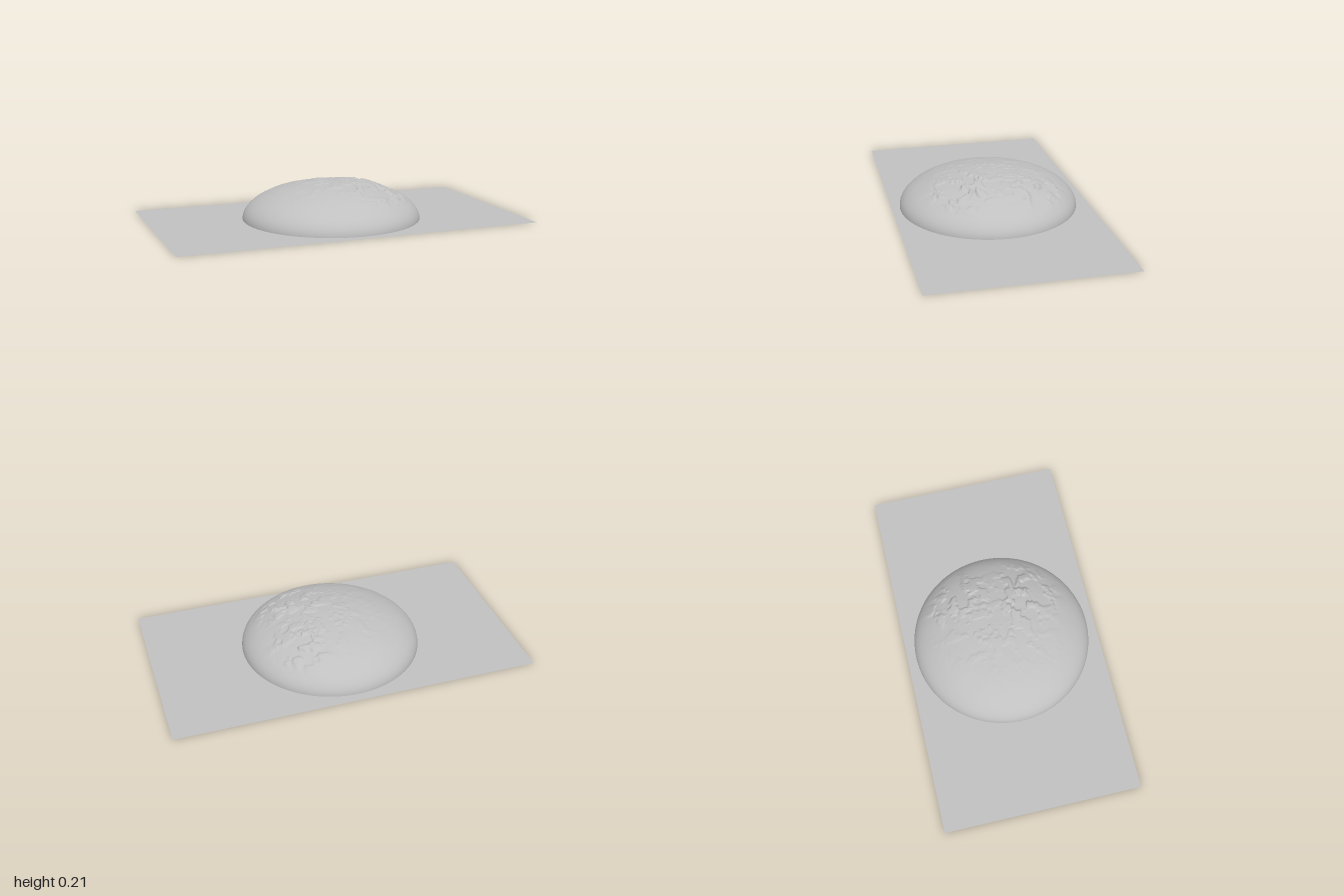
import * as THREE from 'three';
import { mergeVertices } from 'three/addons/utils/BufferGeometryUtils.js';

const RADIUS = 0.495, HEIGHT = 0.202;
const WIDTH = 2, Z_MIN = -0.545, Z_MAX = 0.54;

// Smooth value noise on a repeatable integer lattice
const hash = (i, j) => {
  const s = Math.sin(i * 127.1 + j * 311.7) * 43758.5453;
  return s - Math.floor(s);
};
function noise(x, z) {
  const i = Math.floor(x), j = Math.floor(z);
  const u = THREE.MathUtils.smoothstep(x - i, 0, 1);
  const v = THREE.MathUtils.smoothstep(z - j, 0, 1);
  return THREE.MathUtils.lerp(
    THREE.MathUtils.lerp(hash(i, j), hash(i + 1, j), u),
    THREE.MathUtils.lerp(hash(i, j + 1), hash(i + 1, j + 1), u), v);
}
const fractal = (x, z) =>
  0.55 * noise(x, z) + 0.3 * noise(x * 2.1 + 9, z * 2.1 + 5) + 0.15 * noise(x * 4.3 + 3, z * 4.3 + 7);

// Rugged areas: centre x, centre z, half-width x, half-width z, strength
const ranges = [
  [0.26, -0.18, 0.11, 0.13, 0.014],
  [0.17, -0.33, 0.08, 0.09, 0.007],
  [0.13, 0.14, 0.11, 0.09, 0.013],
  [0.27, 0.16, 0.1, 0.1, 0.011],
  [0.16, 0.28, 0.12, 0.07, 0.009],
  [-0.02, -0.1, 0.2, 0.22, 0.004],
  [-0.1, 0.15, 0.15, 0.15, 0.002],
];

function relief(x, z) {
  const n = fractal(x * 22 + 40, z * 22 + 40);
  const crag = THREE.MathUtils.smoothstep(n, 0.47, 0.62);
  let h = 0.004 * (fractal(x * 7 + 20, z * 7 + 20) - 0.4);
  for (const [cx, cz, rx, rz, strength] of ranges) {
    h += strength * crag * Math.exp(-(((x - cx) / rx) ** 2) - ((z - cz) / rz) ** 2);
  }
  return h * (1 - THREE.MathUtils.smoothstep(Math.hypot(x, z) / RADIUS, 0.8, 0.98));
}

export function createModel() {
  const group = new THREE.Group();
  const stone = new THREE.MeshStandardMaterial({ color: 0xc0c0c0, side: THREE.DoubleSide });
  stone.name = 'stone grey';

  // Hollow flattened dome with raised terrain
  const half = new THREE.SphereGeometry(RADIUS, 320, 130, 0, Math.PI * 2, 0, Math.PI / 2);
  half.deleteAttribute('uv');
  half.deleteAttribute('normal');
  const domeGeometry = mergeVertices(half, 1e-5);
  const p = domeGeometry.attributes.position;
  for (let i = 0; i < p.count; i++) {
    const y = p.getY(i) * HEIGHT / RADIUS;
    p.setY(i, Math.max(0, y + relief(p.getX(i), p.getZ(i))));
  }
  domeGeometry.computeVertexNormals();
  const dome = new THREE.Mesh(domeGeometry, stone);
  dome.name = 'dome';
  group.add(dome);

  // Thin flat sheet, open under the dome
  const outline = new THREE.Shape();
  outline.moveTo(-WIDTH / 2, -Z_MAX);
  outline.lineTo(WIDTH / 2, -Z_MAX);
  outline.lineTo(WIDTH / 2, -Z_MIN);
  outline.lineTo(-WIDTH / 2, -Z_MIN);
  outline.closePath();
  outline.holes.push(new THREE.Path().absarc(0, 0, RADIUS, 0, Math.PI * 2, true));
  const sheetGeometry = new THREE.ShapeGeometry(outline, 160);
  sheetGeometry.rotateX(-Math.PI / 2);
  const sheet = new THREE.Mesh(sheetGeometry, stone);
  sheet.name = 'baseSheet';
  group.add(sheet);

  return group;
}
